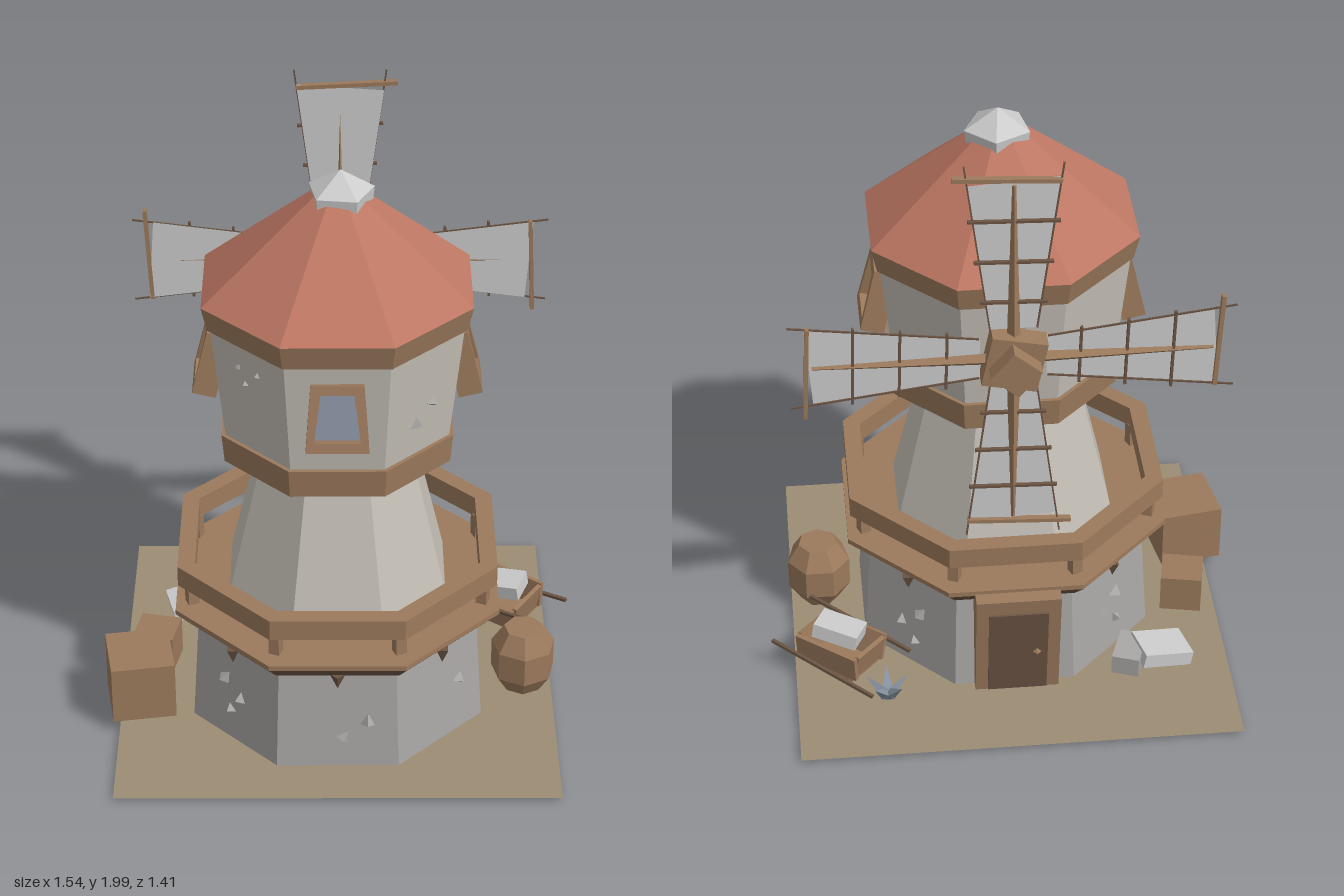
import * as THREE from 'three';

const mat = (color) => new THREE.MeshStandardMaterial({ color, flatShading: true, side: THREE.DoubleSide });
const WOOD = mat(0x9c7a5c), DARK = mat(0x6b5443), STONE = mat(0xaaa8a6), WALL = mat(0xc4bfb6);
const ROOF = mat(0xbd7763), SAIL = mat(0xcccccc), GROUND = mat(0x9c8c74), BLUE = mat(0x8791a0);
const K = Math.cos(Math.PI / 8);

function add(parent, name, geo, material, pos = [0, 0, 0], rot = [0, 0, 0]) {
  const m = new THREE.Mesh(geo, material);
  m.name = name;
  m.position.set(...pos);
  m.rotation.set(...rot);
  parent.add(m);
  return m;
}
const box = (w, h, d) => new THREE.BoxGeometry(w, h, d);

// Octagonal drum with flats on the axes; radii are measured to the flats
function drum(parent, name, y0, r0, y1, r1, material) {
  const g = new THREE.CylinderGeometry(r1 / K, r0 / K, y1 - y0, 8, 1, false, Math.PI / 8);
  return add(parent, name, g, material, [0, (y0 + y1) / 2, 0]);
}

// Group turned so that its local +z points out of the wall at angle a
function side(parent, name, a) {
  const g = new THREE.Group();
  g.name = name;
  g.rotation.y = a;
  parent.add(g);
  return g;
}

// Closed octagonal hoop
function hoop(parent, name, y0, y1, inner, outer, material) {
  const pts = [[inner, y0], [outer, y0], [outer, y1], [inner, y1], [inner, y0]]
    .map(([r, y]) => new THREE.Vector2(r / K, y));
  add(parent, name, new THREE.LatheGeometry(pts, 8, Math.PI / 8), material);
}

function windowAt(parent, a) {
  const g = side(parent, 'window', a);
  const f = new THREE.Group();
  f.position.set(0, 1.255, 0.35);
  f.rotation.x = -0.24;
  g.add(f);
  const s = new THREE.Shape([[-0.095, -0.105], [0.095, -0.105], [0.08, 0.105], [-0.08, 0.105]]
    .map((p) => new THREE.Vector2(...p)));
  s.holes.push(new THREE.Path([[-0.07, -0.075], [-0.05, 0.075], [0.05, 0.075], [0.07, -0.075]]
    .map((p) => new THREE.Vector2(...p))));
  add(f, 'windowFrame', new THREE.ExtrudeGeometry(s, { depth: 0.075, bevelEnabled: false }), WOOD);
  add(f, 'windowPane', box(0.14, 0.17, 0.02), BLUE, [0, 0, 0.03]);
}

function chips(parent, a, d, size, spots) {
  const g = side(parent, 'stoneChips', a);
  spots.forEach(([u, y], i) =>
    add(g, 'stoneChip', new THREE.ConeGeometry(size, size * 1.1, 3), STONE, [u, y, d], [Math.PI / 2, i * 0.5 + 0.5, 0]));
}

// One sail pointing up from the hub
function sail(parent, angle) {
  const g = new THREE.Group();
  g.name = 'sail';
  g.rotation.z = angle;
  parent.add(g);
  const half = (r) => 0.058 + 0.13 * r;
  const cloth = new THREE.Shape([[-half(0.1), 0.1], [half(0.1), 0.1], [half(0.61), 0.6], [-half(0.61), 0.62]]
    .map((p) => new THREE.Vector2(...p)));
  add(g, 'sailCloth', new THREE.ShapeGeometry(cloth), SAIL);
  add(g, 'sailSpar', new THREE.CylinderGeometry(0.006, 0.022, 0.6, 4), WOOD, [0, 0.3, -0.008]);
  for (const s of [-1, 1]) {
    add(g, 'sailEdgeRod', box(0.005, 0.57, 0.005), DARK, [s * half(0.38), 0.385, -0.004], [0, 0, -s * 0.13]);
  }
  for (const r of [0.2, 0.34, 0.48]) {
    add(g, 'sailCrossbar', box(2 * half(r) + 0.03, 0.008, 0.012), DARK, [0, r, -0.008], [0, 0, 0.03]);
  }
  add(g, 'sailTipBar', box(0.32, 0.013, 0.02), WOOD, [0.02, 0.618, -0.004], [0, 0, 0.05]);
}

export function createModel() {
  const model = new THREE.Group();
  model.name = 'windmill';
  add(model, 'ground', new THREE.PlaneGeometry(1.41, 1.41), GROUND, [0.005, 0.012, 0], [-Math.PI / 2, 0, 0]);

  const tower = new THREE.Group();
  tower.name = 'tower';
  tower.position.set(0.005, 0, 0.073);
  model.add(tower);

  // Stone base and overhanging deck
  drum(tower, 'stoneBase', 0, 0.468, 0.37, 0.445, STONE);
  drum(tower, 'deckUnderside', 0.365, 0.465, 0.42, 0.515, DARK);
  drum(tower, 'deckFloor', 0.42, 0.515, 0.437, 0.515, WOOD);
  for (let i = 0; i < 8; i++) {
    const a = (i * Math.PI) / 4;
    const bracket = side(tower, 'deckBracket', a);
    add(bracket, 'bracketPeg', new THREE.ConeGeometry(0.025, 0.055, 4), DARK, [0, 0.345, 0.468], [Math.PI, 0, 0]);
    const corner = side(tower, 'railPost', a + Math.PI / 8);
    add(corner, 'post', box(0.035, 0.08, 0.035), WOOD, [0, 0.495, 0.5]);
  }
  hoop(tower, 'railing', 0.53, 0.6, 0.45, 0.505, WOOD);

  // Tapered shaft, head and roof
  drum(tower, 'shaft', 0.457, 0.345, 0.94, 0.235, WALL);
  drum(tower, 'headLowerBand', 0.955, 0.35, 1.05, 0.358, WOOD);
  drum(tower, 'headWall', 1.045, 0.345, 1.44, 0.385, WALL);
  drum(tower, 'headUpperBand', 1.43, 0.393, 1.51, 0.41, WOOD);
  drum(tower, 'roof', 1.51, 0.41, 1.83, 0.05, ROOF);
  const cap = new THREE.CylinderGeometry(0.105, 0.1, 0.04, 5);
  add(tower, 'roofCap', cap, SAIL, [0.01, 1.805, 0], [0, 0.5, 0]);
  add(tower, 'roofCapTip', new THREE.ConeGeometry(0.105, 0.065, 5), SAIL, [0.01, 1.857, 0], [0, 0.5, 0]);

  for (const a of [0, Math.PI / 2, -Math.PI / 2]) windowAt(tower, a);

  // Loose stones standing out of the walls
  const q = Math.PI / 4;
  chips(tower, 0, 0.468, 0.034, [[0.02, 0.12], [0.095, 0.18]]);
  chips(tower, -q, 0.465, 0.032, [[-0.05, 0.23], [0.02, 0.18], [-0.02, 0.12]]);
  chips(tower, q, 0.465, 0.032, [[0.09, 0.2]]);
  chips(tower, -3 * q, 0.465, 0.034, [[0.03, 0.22], [-0.03, 0.17], [0.03, 0.12]]);
  chips(tower, 3 * q, 0.465, 0.034, [[0.04, 0.22], [-0.04, 0.16], [0.02, 0.1]]);
  chips(tower, q, 0.37, 0.028, [[0.04, 1.22], [-0.02, 1.165]]);
  chips(tower, -q, 0.385, 0.012, [[-0.04, 1.35], [0.04, 1.35], [-0.01, 1.3]]);

  // Back door, leaning outward at the top
  const door = side(model, 'door', Math.PI);
  add(door, 'doorFrame', box(0.27, 0.42, 0.1), WOOD, [0, 0.218, 0.405], [0.14, 0, 0]);
  add(door, 'doorLeaf', box(0.19, 0.35, 0.02), DARK, [0, 0.19, 0.448], [0.14, 0, 0]);
  add(door, 'doorKnob', new THREE.OctahedronGeometry(0.014), WOOD, [0.06, 0.19, 0.462]);

  // Axle, hub and four sails
  const rotor = new THREE.Group();
  rotor.name = 'rotor';
  rotor.position.set(0.015, 1.32, -0.417);
  model.add(rotor);
  add(rotor, 'axle', new THREE.CylinderGeometry(0.035, 0.06, 0.18, 6), WOOD, [0, 0, 0.06], [-Math.PI / 2, 0, 0]);
  add(rotor, 'hub', box(0.17, 0.17, 0.07), WOOD, [0, 0, -0.015], [0, 0, 0.2]);
  add(rotor, 'hubCap', box(0.11, 0.11, 0.06), WOOD, [0, 0, -0.075], [0, 0, 0.7]);
  for (let i = 0; i < 4; i++) sail(rotor, (i * Math.PI) / 2);

  // Crates and barrel
  add(model, 'largeCrate', box(0.205, 0.2, 0.21), WOOD, [-0.635, 0.14, 0.23], [0, 0.16, 0]);
  add(model, 'smallCrate', box(0.135, 0.13, 0.13), WOOD, [-0.595, 0.078, -0.033], [0, -0.2, 0]);
  const stave = [[0, 0.012], [0.065, 0.012], [0.105, 0.075], [0.105, 0.175], [0.065, 0.238], [0, 0.238]]
    .map((p) => new THREE.Vector2(...p));
  add(model, 'barrel', new THREE.LatheGeometry(stave, 7), WOOD, [0.615, 0, 0.105]);

  // Stone blocks lying by the wall
  add(model, 'stoneBlock', box(0.17, 0.05, 0.13), SAIL, [-0.485, 0.05, -0.325], [0, 0.25, 0.2]);
  add(model, 'stoneBlock', box(0.09, 0.07, 0.14), STONE, [-0.38, 0.045, -0.335], [0, -0.35, 0]);

  // Tipped open box with a stone slab and loose poles
  const heap = new THREE.Group();
  heap.name = 'brokenBox';
  heap.position.set(0.56, 0.1, -0.27);
  heap.rotation.set(0.15, -0.65, 0.1);
  model.add(heap);
  add(heap, 'boxBottom', box(0.2, 0.015, 0.15), WOOD, [0, -0.05, 0]);
  for (const s of [-1, 1]) {
    add(heap, 'boxLongSide', box(0.23, 0.09, 0.015), WOOD, [0, 0, s * 0.08], [s * 0.2, 0, 0]);
    add(heap, 'boxShortSide', box(0.015, 0.09, 0.15), WOOD, [s * 0.105, 0, 0], [0, 0, -s * 0.2]);
    add(heap, 'loosePole', box(0.4, 0.01, 0.012), DARK, [0, s * 0.03, s * 0.105], [0, 0, 0.12]);
  }
  add(heap, 'stoneSlab', box(0.15, 0.05, 0.1), SAIL, [0.01, 0.06, 0], [0, 0.25, 0.1]);

  // Spiky shards
  for (let i = 0; i < 5; i++) {
    const a = i * 1.257;
    add(model, 'shard', new THREE.ConeGeometry(0.025, 0.1, 3), BLUE,
      [0.42 + 0.035 * Math.sin(a), 0.06, -0.44 + 0.035 * Math.cos(a)], [0.8 * Math.cos(a), 0, -0.8 * Math.sin(a)]);
  }
  return model;
}
